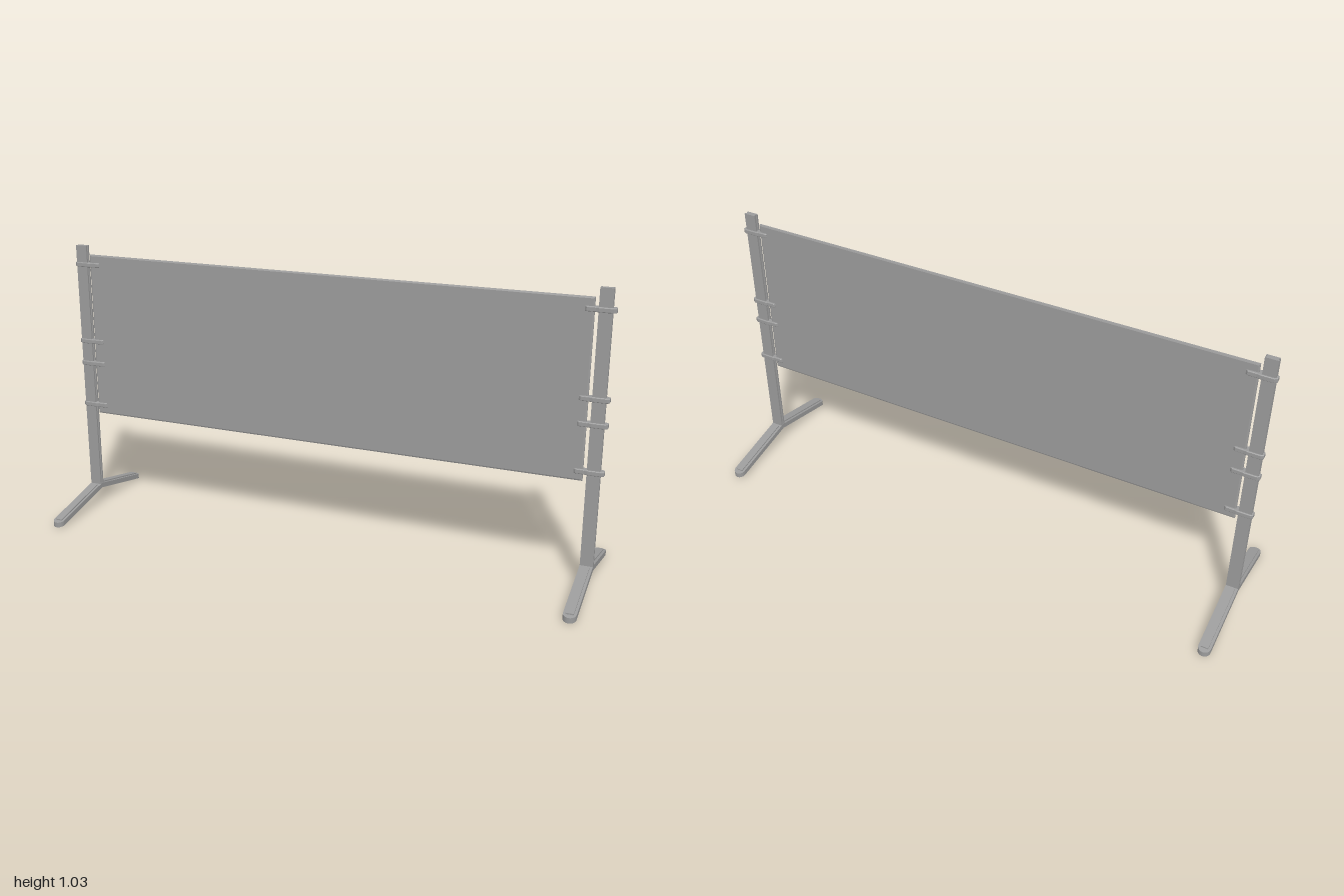
import * as THREE from 'three';

const material = new THREE.MeshStandardMaterial({ color: 0x9b9b9b, flatShading: true });

function part(name, geometry) {
  const mesh = new THREE.Mesh(geometry, material);
  mesh.name = name;
  return mesh;
}

function polygon(points) {
  return new THREE.Shape(points.map(([x, y]) => new THREE.Vector2(x, y)));
}

// Outline in x/z extruded upwards, starting at y = 0
function extrudeUp(shape, height, bevel = 0) {
  const g = new THREE.ExtrudeGeometry(shape, {
    depth: height - 2 * bevel, curveSegments: 10, bevelEnabled: bevel > 0,
    bevelThickness: bevel, bevelSize: bevel, bevelOffset: -bevel, bevelSegments: 3,
  });
  return g.translate(0, 0, bevel).rotateX(-Math.PI / 2);
}

// Tilt a leg: drop y in proportion to the distance from the post
function slope(geometry) {
  const p = geometry.attributes.position;
  for (let i = 0; i < p.count; i++) p.setY(i, p.getY(i) + 0.061 - 0.214 * Math.abs(p.getZ(i)));
  geometry.computeVertexNormals();
  return geometry;
}

const W = 0.022; // half width of post and legs
const LEG = 0.285;

// Upright with a shallow channel on each narrow side
function postGeometry() {
  const d = 0.0095, c = 0.003, n = W - 0.004;
  return extrudeUp(polygon([[-W, -d], [W, -d], [W, -c], [n, -c], [n, c], [W, c],
    [W, d], [-W, d], [-W, c], [-n, c], [-n, -c], [-W, -c]]), 0.966);
}

// One sloping leg with a round tip and a raised strip on top
function createLeg(name) {
  const leg = new THREE.Group();
  leg.name = name;
  const s = new THREE.Shape();
  s.moveTo(W, 0);
  s.lineTo(-W, 0);
  s.lineTo(-W, -LEG + W);
  s.absarc(0, -LEG + W, W, Math.PI, Math.PI * 2, false);
  s.closePath();
  leg.add(part('legBeam', slope(extrudeUp(s, 0.019))));
  const strip = new THREE.BoxGeometry(0.026, 0.008, 0.25).translate(0, 0.0195, 0.143);
  leg.add(part('legStrip', slope(strip)));
  return leg;
}

function createStand(name, x) {
  const stand = new THREE.Group();
  stand.name = name;
  const post = part('post', postGeometry());
  post.position.y = 0.062;
  const front = createLeg('frontLeg');
  const back = createLeg('backLeg');
  back.rotation.y = Math.PI;
  stand.add(post, front, back);
  stand.position.x = x;
  return stand;
}

export function createModel() {
  const model = new THREE.Group();
  model.name = 'bannerStand';

  model.add(createStand('leftStand', 0.965), createStand('rightStand', -0.972));

  // Thin panel with bevelled rim
  const x0 = -0.94, x1 = 0.93, y0 = 0.377, y1 = 0.995;
  const panel = new THREE.ExtrudeGeometry(polygon([[x0, y0], [x1, y0], [x1, y1], [x0, y1]]), {
    depth: 0.006, bevelThickness: 0.002, bevelSize: 0.005, bevelOffset: -0.005, bevelSegments: 1,
  }).translate(0, 0, -0.003);
  model.add(part('panel', panel));

  // Ties wrapped round post and panel edge, narrowing towards the panel
  const tieShape = polygon([[0.9, -0.006], [0.906, -0.0115], [0.935, -0.0125], [0.945, -0.0145],
    [0.991, -0.0145], [1, -0.008], [1, 0.008], [0.991, 0.0145],
    [0.945, 0.0145], [0.935, 0.0125], [0.906, 0.0115], [0.9, 0.006]]);
  const tieGeometry = extrudeUp(tieShape, 0.017, 0.003);
  for (const [side, turn] of [['left', 0], ['right', Math.PI]]) {
    for (const y of [0.411, 0.575, 0.662, 0.957]) {
      const tie = part(side + 'Tie', tieGeometry);
      tie.position.y = y - 0.0085;
      tie.rotation.y = turn;
      model.add(tie);
    }
  }
  return model;
}
